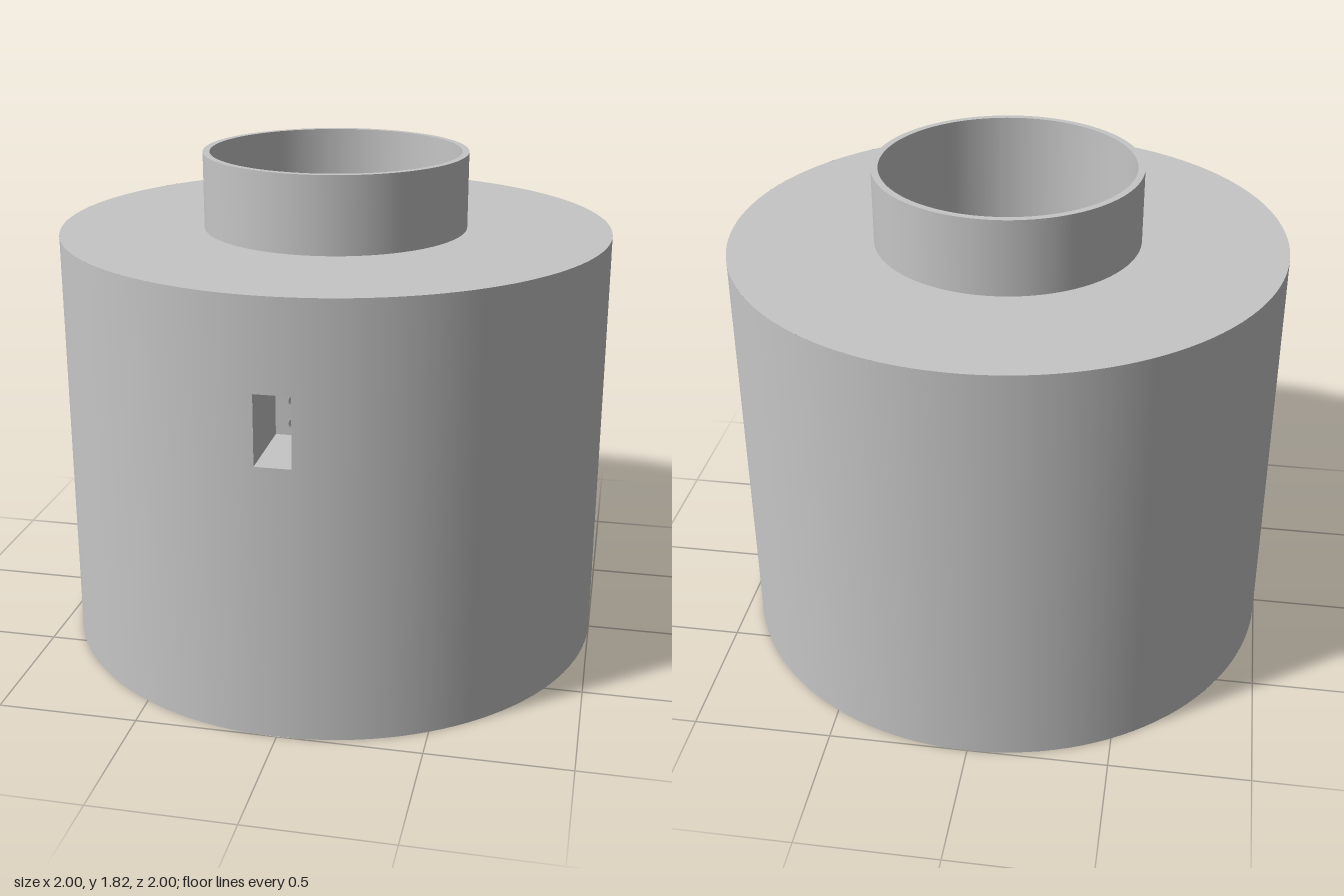
import * as THREE from 'three';

const R = 1, WALL_TOP = 1.545, COLLAR_TOP = 1.82, COLLAR_R = 0.48, BORE_R = 0.455, BORE_FLOOR = 0.25;

export function createModel() {
  const group = new THREE.Group();
  const grey = new THREE.MeshStandardMaterial({ color: 0xc6c6c6, side: THREE.DoubleSide });
  grey.name = 'plain grey';

  function add(name, geometry, parent = group) {
    const mesh = new THREE.Mesh(geometry, grey);
    mesh.name = name;
    parent.add(mesh);
    return mesh;
  }

  // Straight revolved surface between two profile points
  function band(name, r1, y1, r2, y2, start = 0, end = Math.PI * 2) {
    const points = [new THREE.Vector2(r1, y1), new THREE.Vector2(r2, y2)];
    const segments = Math.max(8, Math.round((end - start) * 20));
    return add(name, new THREE.LatheGeometry(points, segments, start, end - start));
  }

  function circle(x, y, r) {
    return new THREE.Path().absarc(x, y, r, 0, Math.PI * 2, true);
  }

  function rectangle(Type, x0, y0, x1, y1) {
    return new Type([[x0, y0], [x1, y0], [x1, y1], [x0, y1]].map(p => new THREE.Vector2(...p)));
  }

  // Narrow strip of the outer wall with an opening, bent round the axis
  function wallStrip(name, angle, halfAngle, opening) {
    const shape = rectangle(THREE.Shape, -halfAngle, 0, halfAngle, WALL_TOP);
    shape.holes.push(opening);
    const geometry = new THREE.ShapeGeometry(shape, 12);
    const pos = geometry.attributes.position, normal = geometry.attributes.normal;
    for (let i = 0; i < pos.count; i++) {
      const a = angle + pos.getX(i);
      pos.setXYZ(i, R * Math.sin(a), pos.getY(i), R * Math.cos(a));
      normal.setXYZ(i, Math.sin(a), 0, Math.cos(a));
    }
    add(name, geometry);
  }

  // Inward-facing lining of a round hole, along +z from z0 to z1
  function holeLining(name, x, y, r, z0, z1, parent = group) {
    const geometry = new THREE.CylinderGeometry(r, r, z1 - z0, 32, 1, true);
    geometry.rotateX(Math.PI / 2);
    geometry.translate(x, y, (z0 + z1) / 2);
    return add(name, geometry, parent);
  }

  // Outer wall, with gaps for the two pierced strips
  const frontHalf = 0.07, sideHalf = 0.03, quarter = Math.PI / 2;
  band('outerWall', R, 0, R, WALL_TOP, frontHalf, quarter - sideHalf);
  band('outerWall', R, 0, R, WALL_TOP, quarter + sideHalf, Math.PI * 2 - frontHalf);
  const x = 0.0625, y0 = 0.98, y1 = 1.225;
  wallStrip('frontWallStrip', 0, frontHalf, rectangle(THREE.Path, -x, y0, x, y1));
  wallStrip('sideWallStrip', quarter, sideHalf, circle(0, 1.505, 0.02));

  // Shoulder, collar and deep bore
  band('shoulder', R, WALL_TOP, COLLAR_R, WALL_TOP);
  band('collarOuter', COLLAR_R, WALL_TOP, COLLAR_R, COLLAR_TOP);
  band('collarRim', COLLAR_R, COLLAR_TOP, BORE_R, COLLAR_TOP);
  band('boreWall', BORE_R, COLLAR_TOP, BORE_R, BORE_FLOOR);
  band('boreFloor', BORE_R, BORE_FLOOR, 0, BORE_FLOOR);

  // Small hole through the left side wall
  const sideHole = new THREE.Group();
  sideHole.name = 'sideHole';
  sideHole.rotation.y = quarter;
  group.add(sideHole);
  holeLining('sideHoleLining', 0, 1.505, 0.02, BORE_R, 0.999, sideHole);

  // Rectangular front pocket
  const pocket = new THREE.Group();
  pocket.name = 'frontPocket';
  group.add(pocket);
  const back = 0.7, front = 0.997, depth = front - back, mid = (front + back) / 2;
  for (const s of [-1, 1]) {
    const side = add('pocketSide', new THREE.PlaneGeometry(depth, y1 - y0), pocket);
    side.rotation.y = -s * quarter;
    side.position.set(s * x, (y0 + y1) / 2, mid);
    const level = add(s < 0 ? 'pocketFloor' : 'pocketCeiling', new THREE.PlaneGeometry(2 * x, depth), pocket);
    level.rotation.x = s * quarter;
    level.position.set(0, s < 0 ? y0 : y1, mid);
  }

  // Pocket back with its row of pin holes
  const backShape = rectangle(THREE.Shape, -x, y0, x, y1);
  const pins = [[0, 1.02, 0.018], [0, 1.1, 0.018], [0, 1.18, 0.018], [0, 1.211, 0.011], [0.043, 1.2, 0.008]];
  for (const [px, py, r] of pins) {
    backShape.holes.push(circle(px, py, r));
    holeLining('pinHole', px, py, r, BORE_R - 0.005, back, pocket);
  }
  add('pocketBack', new THREE.ShapeGeometry(backShape, 16).translate(0, 0, back), pocket);

  // Underside with three evenly spaced blind holes
  const base = new THREE.Shape().absarc(0, 0, R, 0, Math.PI * 2, false);
  const holeR = 0.094, holeDepth = 0.15;
  for (let i = 0; i < 3; i++) {
    const a = Math.PI / 6 + i * Math.PI * 2 / 3;
    const hx = 0.318 * Math.cos(a), hz = 0.318 * Math.sin(a);
    base.holes.push(circle(hx, hz, holeR));
    const lining = add('baseHole', new THREE.CylinderGeometry(holeR, holeR, holeDepth, 40, 1, true));
    lining.position.set(hx, holeDepth / 2, hz);
    const end = add('baseHoleEnd', new THREE.CircleGeometry(holeR, 40));
    end.rotation.x = quarter;
    end.position.set(hx, holeDepth, hz);
  }
  add('underside', new THREE.ShapeGeometry(base, 64).rotateX(quarter));

  return group;
}
